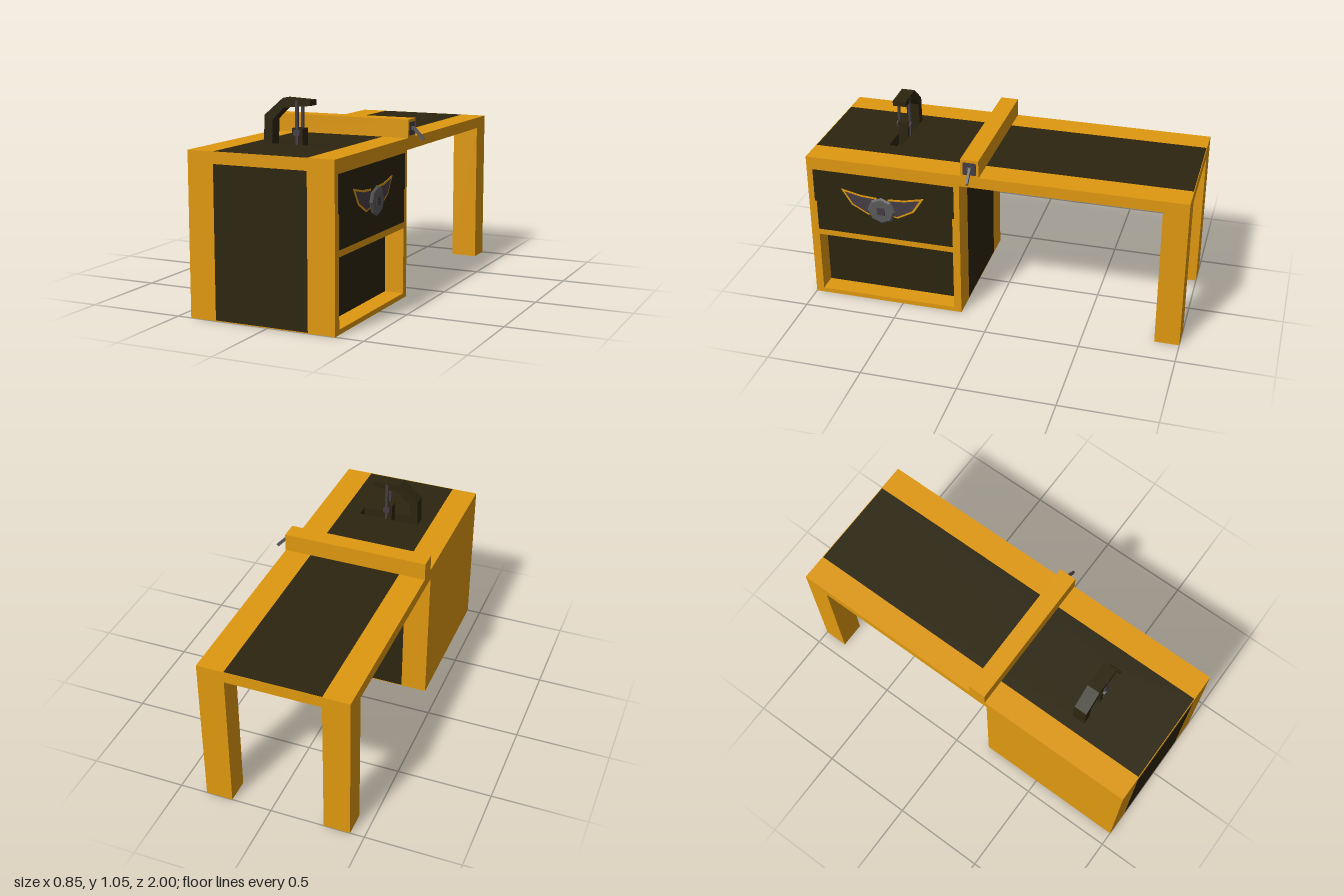
import * as THREE from 'three';

const mat = (color) => new THREE.MeshStandardMaterial({ color, flatShading: true });

export function createModel() {
  const root = new THREE.Group();
  const orange = mat(0xdf980f), dark = mat(0x2c250f), steel = mat(0x5a5a5a), iron = mat(0x453e45);

  const add = (name, geo, m, parent = root) => {
    const mesh = new THREE.Mesh(geo, m);
    mesh.name = name;
    parent.add(mesh);
    return mesh;
  };
  // Box given by its extents on each axis
  const box = (name, m, [x0, x1], [y0, y1], [z0, z1]) => {
    const b = add(name, new THREE.BoxGeometry(x1 - x0, y1 - y0, z1 - z0), m);
    b.position.set((x0 + x1) / 2, (y0 + y1) / 2, (z0 + z1) / 2);
    return b;
  };
  const poly = (pts) => new THREE.Shape(pts.map(([x, y]) => new THREE.Vector2(x, y)));
  const rect = (x0, x1, y0, y1) => poly([[x0, y0], [x1, y0], [x1, y1], [x0, y1]]);
  const extrude = (shape, depth) => new THREE.ExtrudeGeometry(shape, { depth, bevelEnabled: false });

  const XL = [-0.425, -0.285], XM = [-0.285, 0.213], XR = [0.213, 0.355];
  const underTop = 0.765, top = 0.825, cabZ = [0.17, 1];

  // Table top: two side rails, dark centre with a slot, thin end caps
  for (const x of [XL, XR]) {
    box('topRail', orange, x, [underTop, top], [-1, 1]);
    box('backLeg', orange, x, [0, underTop], [-1, -0.87]);
  }
  const centre = rect(XM[0], XM[1], -0.997, 0.997);
  centre.holes.push(rect(-0.22, 0.117, -0.625, -0.555));
  const topPanel = add('topPanel', extrude(centre, top - underTop), dark);
  topPanel.rotation.x = -Math.PI / 2;
  topPanel.position.y = underTop;
  box('frontCap', orange, XM, [underTop, top], [0.997, 1]);
  box('backCap', orange, XM, [underTop, top], [-1, -0.997]);

  // Cabinet: dark core between orange sides, orange floor
  box('cabinetCore', dark, XM, [0.004, underTop], cabZ);
  box('cabinetFloor', orange, XM, [0, 0.004], cabZ);
  box('cabinetRightSide', orange, XL, [0, underTop], cabZ);
  const side = rect(-1, -0.17, 0, underTop);
  side.holes.push(rect(-0.957, -0.21, 0.025, 0.367));
  const sideMesh = add('cabinetLeftSide', extrude(side, XR[1] - XR[0]), orange);
  sideMesh.rotation.y = Math.PI / 2;
  sideMesh.position.x = XR[0];
  box('shelfBack', dark, [XR[0], 0.253], [0.02, 0.37], [0.205, 0.96]);
  box('upperPanel', dark, [0.35, 0.357], [0.57, 0.755], [0.2, 0.967]);
  box('lowerPanel', dark, [0.35, 0.357], [0.4, 0.57], [0.21, 0.957]);

  // Fence across the top with its locking lever
  box('fence', orange, [-0.425, 0.357], [top, 0.92], [0.065, 0.16]);
  box('leverPlate', iron, [0.35, 0.359], [0.837, 0.905], [0.078, 0.147]);
  box('leverPivot', steel, [0.355, 0.37], [0.863, 0.882], [0.098, 0.122]);
  const lever = add('lever', new THREE.BoxGeometry(0.085, 0.016, 0.012), steel);
  lever.position.set(0.392, 0.846, 0.108);
  lever.rotation.z = -0.82;

  // Side wheel on its wing-shaped plate
  const crank = new THREE.Group();
  crank.name = 'sideWheel';
  crank.position.set(0.357, 0.573, 0.587);
  crank.rotation.y = Math.PI / 2;
  root.add(crank);
  const wing = [[0.03, 0.062], [0.12, 0.068], [0.227, 0.092], [0.172, 0.005], [0.08, -0.045], [0.03, -0.03]];
  const inner = [[0.03, 0.052], [0.12, 0.058], [0.205, 0.077], [0.162, 0.011], [0.078, -0.035], [0.03, -0.022]];
  for (const s of [-1, 1]) {
    const flip = (pts) => poly(pts.map(([x, y]) => [s * x, y]));
    add('wingPlateEdge', extrude(flip(wing), 0.002), orange, crank);
    add('wingPlate', extrude(flip(inner), 0.004), iron, crank);
  }
  const disc = (name, r0, r1, h, z, m) => {
    const d = add(name, new THREE.CylinderGeometry(r0, r1, h, 8), m, crank);
    d.rotation.x = Math.PI / 2;
    d.position.z = z;
  };
  disc('wheelShaft', 0.022, 0.022, 0.014, 0.006, steel);
  disc('wheelBack', 0.076, 0.066, 0.009, 0.0145, steel);
  disc('wheelFront', 0.066, 0.076, 0.009, 0.0235, steel);
  const hub = add('wheelHub', new THREE.BoxGeometry(0.042, 0.042, 0.006), iron, crank);
  hub.position.z = 0.029;

  // Overhead saw arm
  const arm = add('sawArm', extrude(poly([
    [-0.222, 0.8], [-0.175, 0.8], [-0.17, 0.943], [-0.105, 1.005],
    [0.037, 1.018], [0.037, 1.045], [-0.112, 1.052], [-0.215, 0.965],
  ]), 0.07), dark);
  arm.position.z = 0.555;

  // Blade guide block, twin rods and hexagonal bolt
  box('guideBlock', dark, [-0.067, -0.008], [0.77, 0.905], [0.563, 0.617]);
  for (const z of [0.56, 0.62])
    box('guideRod', iron, [-0.044, -0.03], [0.8, 1.042], [z - 0.006, z + 0.006]);
  const bolt = add('guideBolt', new THREE.CylinderGeometry(0.02, 0.02, 0.08, 6), iron);
  bolt.rotation.x = Math.PI / 2;
  bolt.position.set(-0.037, 0.882, 0.59);

  return root;
}
